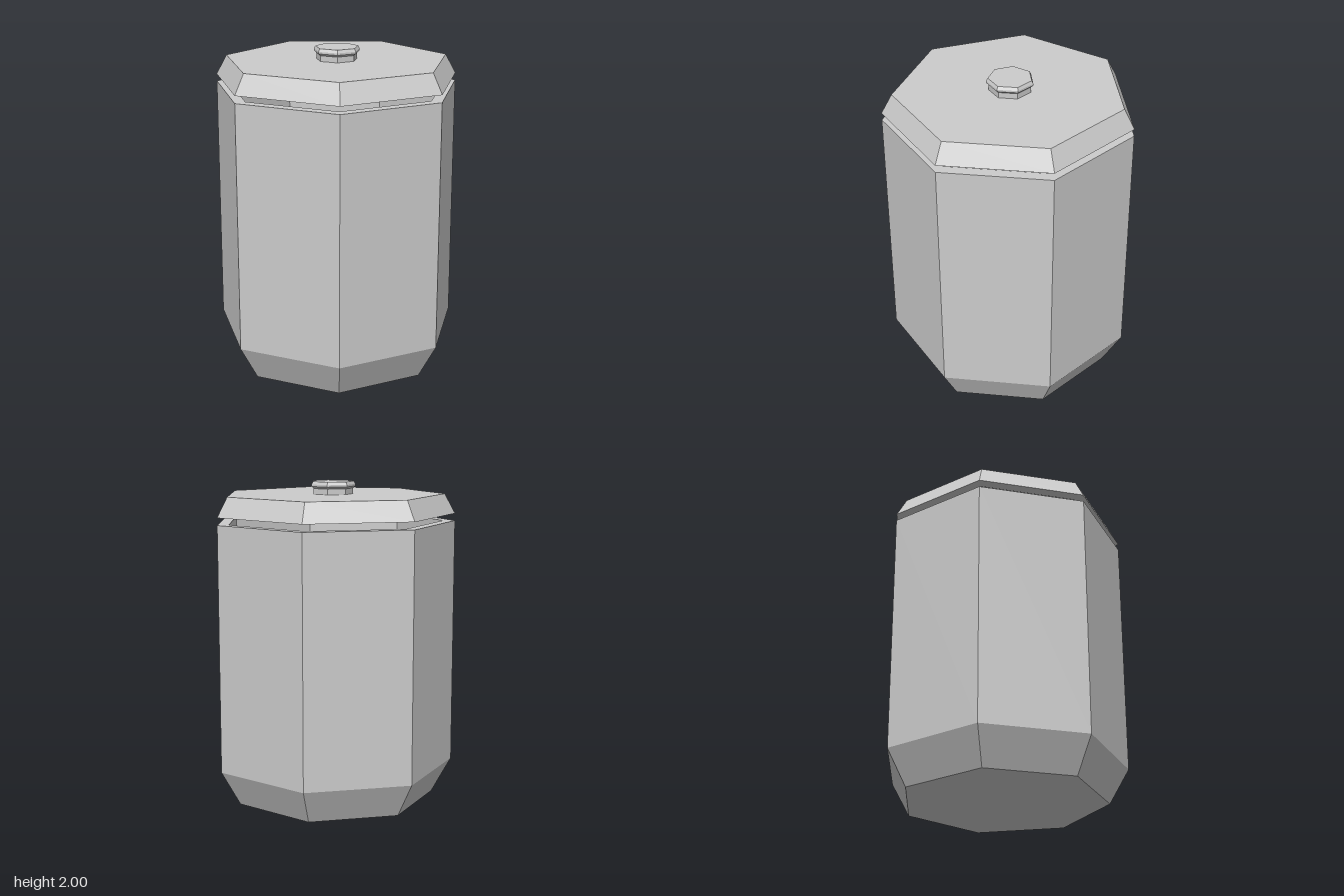
import * as THREE from 'three';

const SIDES = 7;
const CENTRE_Z = 0.037; // a seven-sided shape is not symmetric front to back

// Flat-shaded heptagonal solid from a [radius, height] profile, one corner facing back
function turned(name, profile, material) {
  const points = profile.map(([r, y]) => new THREE.Vector2(r, y));
  const mesh = new THREE.Mesh(new THREE.LatheGeometry(points, SIDES, Math.PI), material);
  mesh.name = name;
  mesh.position.z = CENTRE_Z;
  return mesh;
}

export function createModel() {
  const model = new THREE.Group();
  model.name = 'jar';
  const grey = new THREE.MeshStandardMaterial({ color: 0xcccccc, flatShading: true });

  // Hollow body: chamfered foot, straight walls, flat rim, inner wall and floor
  model.add(turned('body', [
    [0, 0], [0.641, 0], [0.764, 0.22], [0.764, 1.755],
    [0.69, 1.755], [0.69, 0.24], [0.59, 0.06], [0, 0.06],
  ], grey));

  // Lid raised just above the rim, with bevelled sides and a recessed underside
  model.add(turned('lid', [
    [0, 1.86], [0.66, 1.86], [0.69, 1.8], [0.764, 1.8], [0.698, 1.922], [0, 1.922],
  ], grey));

  // Knob: short neck under a wider bevelled cap
  model.add(turned('knob', [
    [0, 1.92], [0.128, 1.92], [0.128, 1.957], [0.143, 1.97], [0.143, 1.982], [0.133, 2], [0, 2],
  ], grey));

  return model;
}
